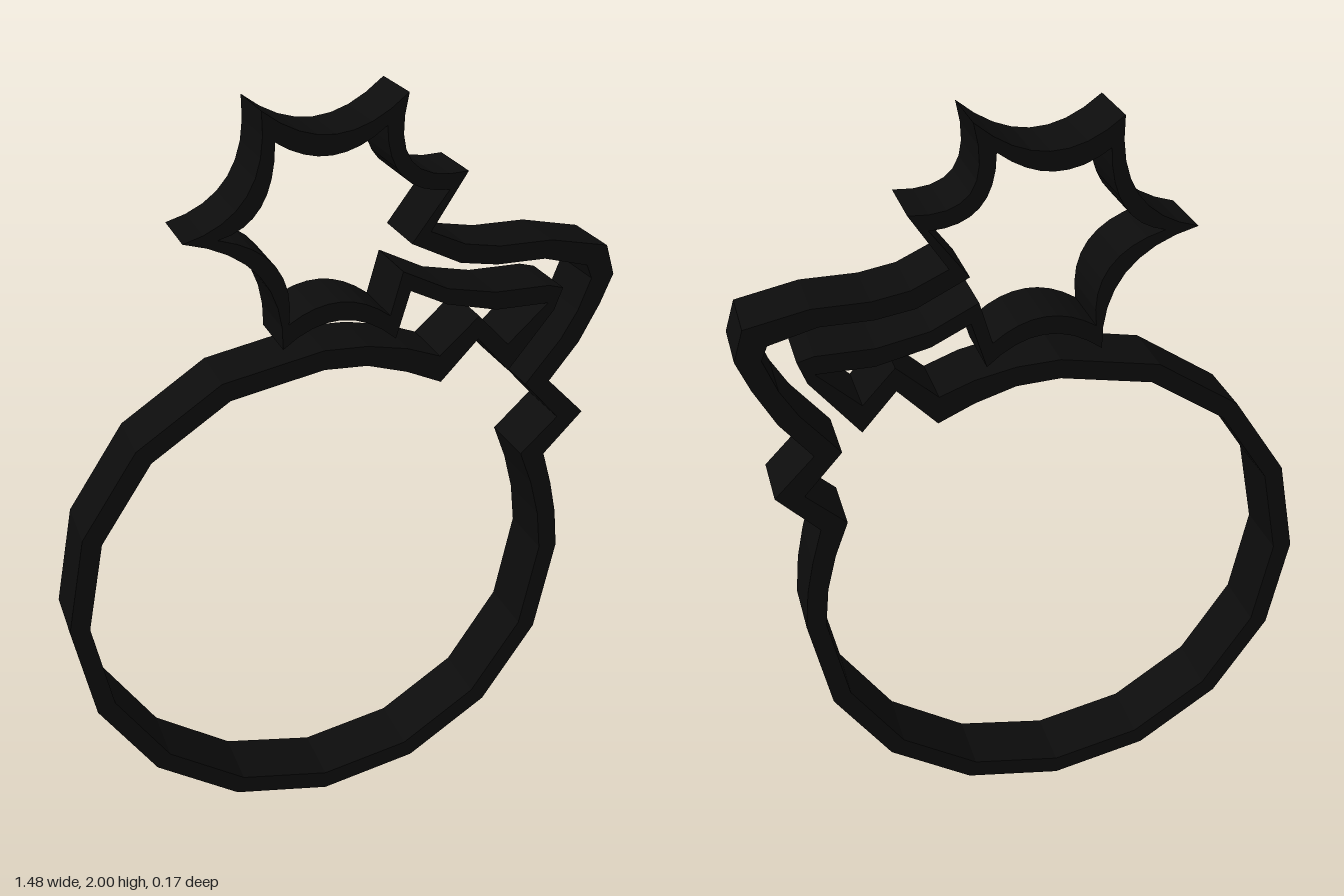
import * as THREE from 'three';

const DEPTH = 0.172;

// Sixteen-sided round body, from its right side clockwise to its top
function bodyPoints(radius) {
  const pts = [];
  for (let i = 0; i <= 12; i++) {
    const a = -i * Math.PI / 8;
    pts.push([-0.055 + radius * Math.cos(a), 0.689 + radius * Math.sin(a)]);
  }
  return pts;
}

// Two numbers: straight line to a point. Four: curve (control point, end point)
function trace(path, steps) {
  steps.forEach((s, i) => {
    if (i === 0) path.moveTo(...s);
    else if (s.length === 2) path.lineTo(...s);
    else path.quadraticCurveTo(...s);
  });
  path.closePath();
  return path;
}

// Outer face of the wall
const outerShoulder = [
  [0.06, 1.374], [0.167, 1.353], [0.257, 1.32], [0.362, 1.416], [0.447, 1.326],
  [0.555, 1.427], [0.41, 1.427], [0.272, 1.459], [0.172, 1.507],
];
const outerSpark = [
  [0.135, 1.385],
  [-0.01, 1.517, -0.161, 1.395],
  [-0.152, 1.639, -0.4, 1.692],
  [-0.183, 1.743, -0.203, 1.985],
  [-0.024, 1.841, 0.156, 2],
  [0.098, 1.772, 0.315, 1.798],
];
const outerFuse = [
  [0.222, 1.655], [0.315, 1.613], [0.41, 1.597], [0.553, 1.597], [0.712, 1.565],
  [0.738, 1.485], [0.706, 1.406], [0.653, 1.305], [0.574, 1.204], [0.68, 1.098],
  [0.574, 0.987], [0.602, 0.891], [0.622, 0.8],
];

// Inner face of the wall
const innerShoulder = [
  [0.06, 1.321], [0.167, 1.289], [0.262, 1.247], [0.362, 1.353], [0.452, 1.252],
  [0.574, 1.406], [0.595, 1.464], [0.553, 1.475], [0.405, 1.475], [0.272, 1.501],
  [0.151, 1.56],
];
const innerSpark = [
  [0.119, 1.448],
  [-0.01, 1.549, -0.145, 1.459],
  [-0.12, 1.645, -0.315, 1.692],
  [-0.175, 1.721, -0.172, 1.91],
  [-0.034, 1.817, 0.103, 1.926],
  [0.106, 1.756, 0.267, 1.756],
];
const innerFuse = [
  [0.172, 1.629], [0.304, 1.565], [0.405, 1.549], [0.537, 1.549], [0.659, 1.517],
  [0.675, 1.48], [0.643, 1.395], [0.6, 1.321], [0.505, 1.204], [0.606, 1.093],
  [0.505, 0.997], [0.542, 0.902], [0.569, 0.8],
];

export function createModel() {
  const group = new THREE.Group();
  group.name = 'cookieCutter';

  // One continuous wall: body, neck, fuse and spark
  const shape = trace(new THREE.Shape(),
    [...bodyPoints(0.689), ...outerShoulder, ...outerSpark, ...outerFuse]);
  const inside = trace(new THREE.Path(),
    [...bodyPoints(0.637), ...innerShoulder, ...innerSpark, ...innerFuse]);
  // The hole runs opposite to the outline so its faces look inward
  shape.holes.push(new THREE.Path(inside.getPoints(8).reverse()));

  const geometry = new THREE.ExtrudeGeometry(shape, {
    depth: DEPTH, bevelEnabled: false, curveSegments: 8,
  });
  geometry.translate(0.003, 0, -DEPTH / 2);

  const wall = new THREE.Mesh(geometry, new THREE.MeshStandardMaterial({ color: 0x0c0c0c }));
  wall.name = 'cutterWall';
  group.add(wall);
  return group;
}
